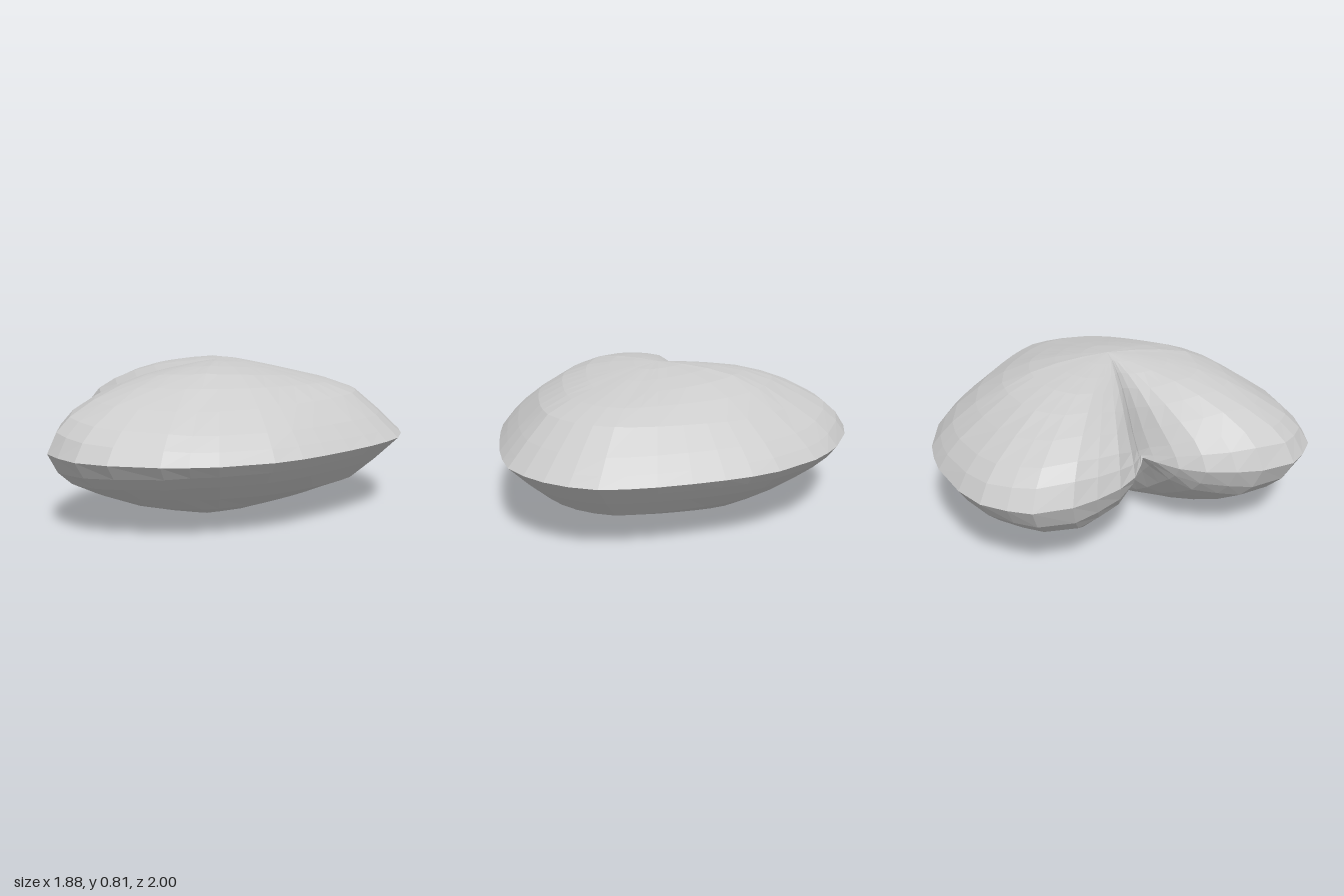
import * as THREE from 'three';

// Half of the heart-shaped seam as [x, z], from the tip round one lobe to the cleft
const HALF = [
  [0.94, 0], [0.925, 0.14], [0.88, 0.28], [0.8, 0.39], [0.7, 0.5], [0.57, 0.62],
  [0.44, 0.73], [0.32, 0.82], [0.18, 0.9], [-0.08, 0.985], [-0.22, 1], [-0.35, 1],
  [-0.6, 0.955], [-0.76, 0.89], [-0.86, 0.79], [-0.93, 0.69], [-0.945, 0.5],
  [-0.915, 0.37], [-0.86, 0.23], [-0.78, 0.12], [-0.67, 0.04], [-0.6, 0],
];

// Rings from the seam (0) to the crown (1), and the swell along key directions
const RINGS = [0, 0.05, 0.12, 0.25, 0.4, 0.55, 0.7, 0.85, 1];
const TIP = [0, 0.05, 0.12, 0.235, 0.29, 0.325, 0.36, 0.39, 0.405];
const SIDE = [0, 0.06, 0.125, 0.215, 0.31, 0.37, 0.395, 0.405, 0.405];
const LOBE = [0, 0.11, 0.18, 0.25, 0.305, 0.345, 0.37, 0.39, 0.405];
const INNER = [0, 0.08, 0.14, 0.2, 0.26, 0.31, 0.355, 0.385, 0.405];
const CLEFT = [0, 0, 0.01, 0.08, 0.19, 0.28, 0.34, 0.385, 0.405];
const KEYS = [[0, TIP], [2, TIP], [10, SIDE], [16, LOBE], [18, INNER], [21, CLEFT]];
const CROWN_X = -0.1;
const SEAM_Y = 0.41;

// Swell at outline point i on ring r, blended between the key directions
function swell(i, r) {
  const k = Math.max(1, KEYS.findIndex(([at]) => at >= i));
  const [i0, a] = KEYS[k - 1];
  const [i1, b] = KEYS[k];
  return THREE.MathUtils.lerp(a[r], b[r], (i - i0) / (i1 - i0));
}

// One puffed half of the cushion: side = 1 for the top, -1 for the bottom
function cushionHalf(side, material) {
  const n = (HALF.length - 1) * 2;
  const positions = [];
  const index = [];
  RINGS.forEach((t, r) => {
    for (let j = 0; j < n; j++) {
      const mirrored = j >= HALF.length;
      const i = mirrored ? n - j : j;
      const [x, z] = HALF[i];
      positions.push(
        THREE.MathUtils.lerp(x, CROWN_X, t),
        SEAM_Y + side * swell(i, r),
        (mirrored ? -z : z) * (1 - t),
      );
    }
  });
  const tri = (a, b, c) => (side > 0 ? index.push(a, b, c) : index.push(a, c, b));
  for (let r = 0; r < RINGS.length - 1; r++) {
    for (let j = 0; j < n; j++) {
      const a = r * n + j;
      const b = r * n + ((j + 1) % n);
      tri(a, a + n, b);
      if (r < RINGS.length - 2) tri(b, a + n, b + n);
    }
  }
  const geometry = new THREE.BufferGeometry();
  geometry.setAttribute('position', new THREE.Float32BufferAttribute(positions, 3));
  geometry.setIndex(index);
  geometry.computeVertexNormals();
  const mesh = new THREE.Mesh(geometry, material);
  mesh.name = side > 0 ? 'cushionTop' : 'cushionBottom';
  return mesh;
}

export function createModel() {
  const group = new THREE.Group();
  group.name = 'heartCushion';
  const material = new THREE.MeshStandardMaterial({ color: 0xcccccc, flatShading: true });
  group.add(cushionHalf(1, material), cushionHalf(-1, material));
  return group;
}
